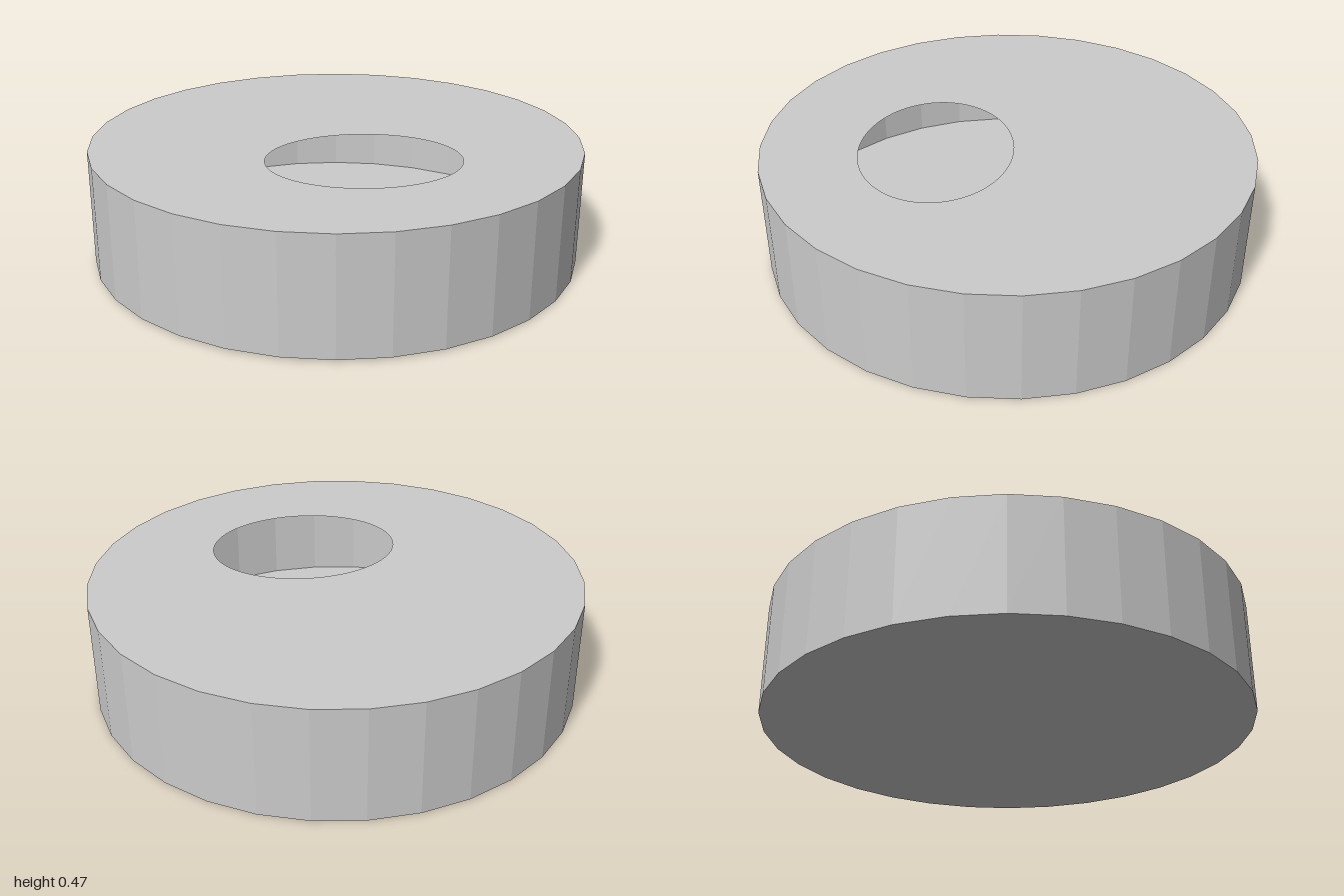
import * as THREE from 'three';

const SIDES = 32;
const RADIUS = 1;
const HEIGHT = 0.467;
const TILT = 0.004; // the drum leans very slightly, its front edge raised

export function createModel() {
  const material = new THREE.MeshStandardMaterial({
    color: 0xcccccc, flatShading: true, side: THREE.DoubleSide,
  });
  const drum = new THREE.Group();
  drum.name = 'drum';
  const add = (name, geometry, y) => {
    const mesh = new THREE.Mesh(geometry, material);
    mesh.name = name;
    mesh.position.y = y;
    drum.add(mesh);
  };

  // Regular outline shared by wall, floor and lid
  const spin = 0.024;
  const outline = Array.from({ length: SIDES }, (_, i) => {
    const a = spin + (i / SIDES) * Math.PI * 2;
    return new THREE.Vector2(Math.cos(a) * RADIUS, Math.sin(a) * RADIUS);
  });

  // Thin faceted wall, hollow inside
  const wall = new THREE.CylinderGeometry(RADIUS, RADIUS, HEIGHT, SIDES, 1, true);
  add('wall', wall.rotateY(spin), 0);

  // Closed floor
  add('floor', new THREE.ShapeGeometry(new THREE.Shape(outline)).rotateX(Math.PI / 2).scale(1, 1, -1).rotateZ(0), -HEIGHT / 2);
  // Flip the floor winding after mirroring so its front looks down
  const floorIndex = drum.getObjectByName('floor').geometry.index;
  for (let i = 0; i < floorIndex.count; i += 3) {
    const a = floorIndex.getX(i);
    floorIndex.setX(i, floorIndex.getX(i + 1));
    floorIndex.setX(i + 1, a);
  }

  // Lid with an off-centre, slanted oval opening
  const lid = new THREE.Shape(outline);
  const opening = new THREE.Path();
  opening.absellipse(0.2475, -0.1625, 0.385, 0.311, 0, Math.PI * 2, true, 0.68);
  lid.holes.push(opening);
  add('lid', new THREE.ShapeGeometry(lid, 32).rotateX(-Math.PI / 2), HEIGHT / 2);

  drum.rotation.x = -TILT;
  drum.position.y = HEIGHT / 2 + RADIUS * TILT;

  const model = new THREE.Group();
  model.name = 'hollowDrum';
  model.add(drum);
  return model;
}
